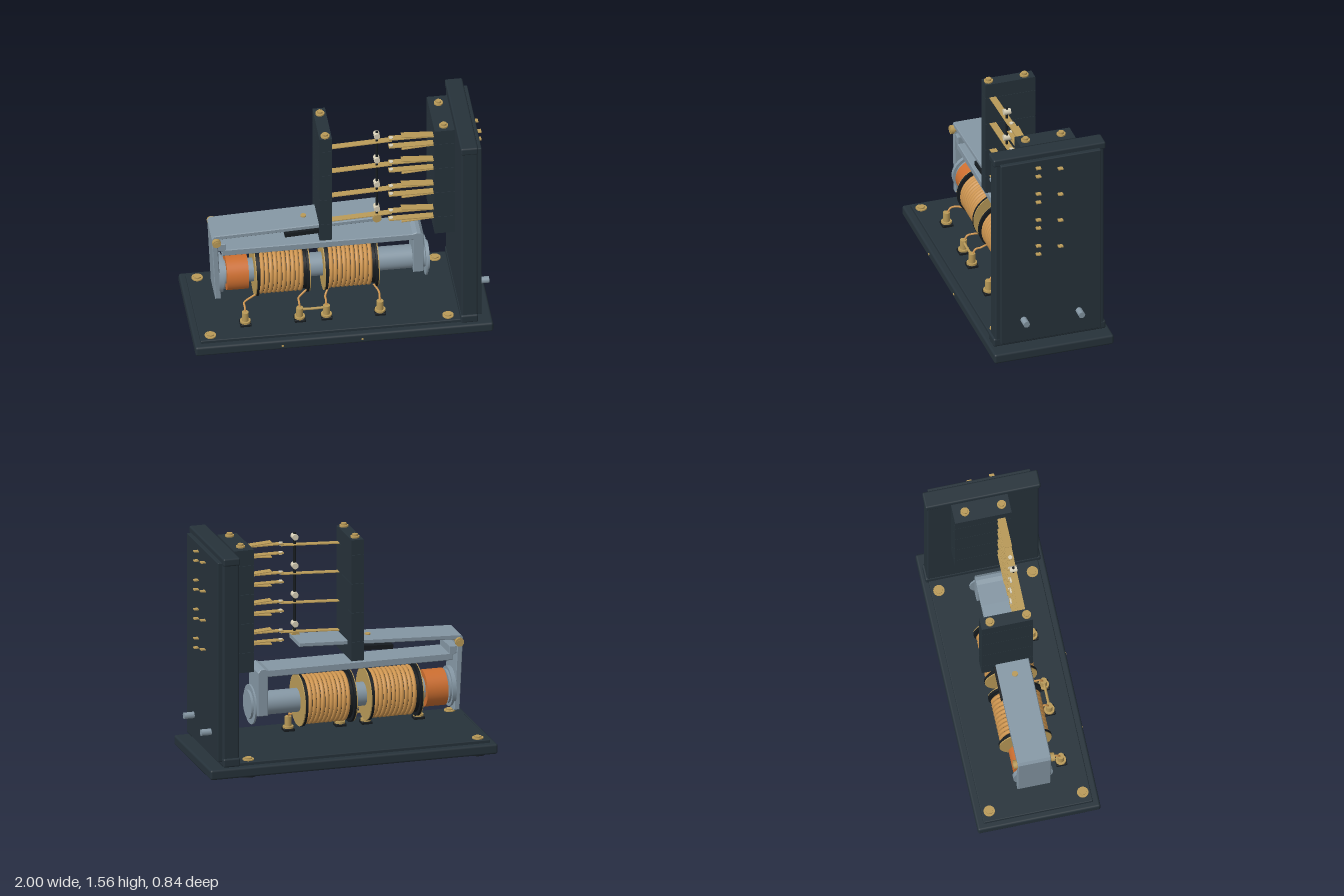
import * as THREE from 'three';
import { RoundedBoxGeometry } from 'three/addons/geometries/RoundedBoxGeometry.js';

const paint = (name, color) => {
  const m = new THREE.MeshStandardMaterial({ color });
  m.name = name;
  return m;
};

export function createModel() {
  const model = new THREE.Group();
  model.name = 'relay';
  const dark = paint('dark panel', 0x26323a);
  const black = paint('black insulation', 0x171c20);
  const steel = paint('steel', 0x8597a4);
  const brass = paint('brass', 0xb99a58);
  const winding = paint('copper wire', 0xcf9650);
  const copper = paint('copper slug', 0xcc6e30);
  const silver = paint('silver contact', 0xd8d0b8);

  const add = (name, geometry, material, x = 0, y = 0, z = 0, parent = model) => {
    const mesh = new THREE.Mesh(geometry, material);
    mesh.name = name;
    mesh.position.set(x, y, z);
    parent.add(mesh);
    return mesh;
  };
  // Box given by its limits, with rounded edges when r > 0
  const box = (name, mat, [x0, x1], [y0, y1], [z0, z1], r = 0) => add(name,
    r ? new RoundedBoxGeometry(x1 - x0, y1 - y0, z1 - z0, 2, r)
      : new THREE.BoxGeometry(x1 - x0, y1 - y0, z1 - z0),
    mat, (x0 + x1) / 2, (y0 + y1) / 2, (z0 + z1) / 2);
  // Cylinders along each axis
  const cylY = (name, mat, r, y0, y1, x, z, sides = 24) =>
    add(name, new THREE.CylinderGeometry(r, r, y1 - y0, sides), mat, x, (y0 + y1) / 2, z);
  const cylX = (name, mat, r, x0, x1, y, z, sides = 40) =>
    add(name, new THREE.CylinderGeometry(r, r, x1 - x0, sides).rotateZ(Math.PI / 2), mat, (x0 + x1) / 2, y, z);
  const cylZ = (name, mat, r, z0, z1, x, y, sides = 20) =>
    add(name, new THREE.CylinderGeometry(r, r, z1 - z0, sides).rotateX(Math.PI / 2), mat, x, y, (z0 + z1) / 2);
  // Thin strip between two points in the x-y plane
  const strip = (name, mat, [xa, ya], [xb, yb], thick, z, width) => {
    const s = add(name, new THREE.BoxGeometry(Math.hypot(xb - xa, yb - ya), thick, width),
      mat, (xa + xb) / 2, (ya + yb) / 2, z);
    s.rotation.z = Math.atan2(yb - ya, xb - xa);
    return s;
  };
  const profile = (name, mat, points, halfWidth) => {
    const b = 0.005;
    const shape = new THREE.Shape(points.map(([x, y]) => new THREE.Vector2(x, y)));
    const g = new THREE.ExtrudeGeometry(shape, {
      depth: 2 * (halfWidth - b), bevelThickness: b, bevelSize: b, bevelOffset: -b, bevelSegments: 1,
    });
    return add(name, g.translate(0, 0, -halfWidth + b), mat);
  };
  const wire = (name, mat, points, r, steps = 16) => add(name, new THREE.TubeGeometry(
    new THREE.CatmullRomCurve3(points.map(p => new THREE.Vector3(...p))), steps, r, 8), mat);

  // Base with feet and corner bolts
  box('base', dark, [-1, 1], [0.018, 0.088], [-0.417, 0.417], 0.015);
  box('baseDeck', dark, [-0.96, 0.82], [0.08, 0.11], [-0.372, 0.372], 0.006);
  for (const x of [-0.888, 0.708]) for (const z of [-0.318, 0.318]) {
    cylY('foot', black, 0.053, 0, 0.02, x, z);
    cylY('baseBolt', brass, 0.038, 0.108, 0.118, x, z);
    cylY('baseBoltHead', brass, 0.026, 0.116, 0.127, x, z, 6);
  }
  for (const x of [-0.415, 0.12]) cylZ('basePin', brass, 0.008, 0.41, 0.421, x, 0.05, 10);

  // Upright end panel with rails, cover plate and posts
  box('panel', dark, [0.79, 0.9], [0.1, 1.54], [-0.38, 0.38], 0.012);
  box('panelTopRail', dark, [0.785, 0.902], [1.492, 1.546], [-0.392, 0.392], 0.012);
  box('panelBottomRail', dark, [0.785, 0.902], [0.09, 0.15], [-0.392, 0.392], 0.012);
  box('coverPlate', dark, [0.89, 0.93], [0.12, 1.51], [-0.35, 0.35], 0.006);
  for (const z of [-0.193, 0.193]) cylX('panelPost', steel, 0.023, 0.92, 1, 0.287, z, 8);

  // Insulating blocks, stacked in slices with hairline seams
  const levels = [1.43, 1.229, 1.026, 0.823];
  const block = (name, x0, x1, y0, y1, z0, z1) => {
    const cuts = [y1, ...levels, y0];
    for (let i = 0; i < 5; i++)
      box(name, dark, [x0, x1], [cuts[i + 1] + 0.001, cuts[i] - 0.001], [z0, z1]);
    const x = (x0 + x1) / 2;
    for (const z of [-0.142, 0.108]) {
      cylY('blockWasher', brass, 0.03, y1 - 0.002, y1 + 0.01, x, z);
      cylY('blockBolt', brass, 0.02, y1, y1 + 0.024, x, z, 6);
      cylY('blockBoltEnd', brass, 0.012, y0 - 0.018, y0 + 0.005, x, z, 10);
    }
  };
  block('movingBlock', -0.13, -0.046, 0.69, 1.535, -0.206, 0.142);
  block('fixedBlock', 0.64, 0.775, 0.685, 1.54, -0.222, 0.163);

  // Contact springs on each level
  const zs = 0.092;
  for (const y of levels) {
    strip('movingSpring', brass, [-0.06, y], [0.36, y + 0.021], 0.006, zs, 0.046);
    const upper = y + 0.031, lower = y - 0.034;
    for (const [h, s] of [[upper, 1], [lower, -1]]) {
      strip('fixedSpring', brass, [0.34, h], [0.65, h], 0.007, zs, 0.048);
      strip('backingSpring', brass, [0.425, h + s * 0.018], [0.65, h + s * 0.003], 0.006, zs, 0.055);
      strip('springTail', brass, [0.92, h], [0.962, h], 0.008, 0.094, 0.034);
      cylY('contactButton', silver, 0.014, h - 0.011, h + 0.009, 0.357, zs, 16);
    }
    strip('movingTail', brass, [0.92, y], [0.962, y], 0.008, -0.06, 0.034);
    // Collar on the push rod
    cylZ('rodCollar', silver, 0.021, zs - 0.024, zs + 0.024, 0.26, y + 0.07);
  }
  cylY('pushRod', black, 0.009, 0.79, 1.53, 0.26, zs, 12);
  cylZ('rodFoot', brass, 0.03, zs - 0.025, zs + 0.025, 0.26, 0.815);

  // Armature: long arm bent down over the pole face
  profile('armature', steel, [[-0.85, 0.755], [-0.835, 0.776], [0.29, 0.823], [0.29, 0.793],
    [-0.812, 0.744], [-0.786, 0.252], [-0.826, 0.252]], 0.113);
  cylZ('hingePin', brass, 0.018, -0.143, 0.143, -0.82, 0.73);
  for (const s of [-1, 1]) cylZ('hingeCap', brass, 0.03, s * 0.127 - 0.012, s * 0.127 + 0.012, -0.82, 0.73, 12);
  strip('armatureInsulator', black, [-0.36, 0.738], [-0.12, 0.752], 0.03, -0.004, 0.242);
  cylY('armatureScrew', brass, 0.02, 0.785, 0.81, -0.22, 0, 12);

  // Yoke joining both ends of the core
  profile('yoke', steel, [[-0.815, 0.7], [-0.755, 0.7], [-0.755, 0.65], [0.5, 0.65], [0.53, 0.66],
    [0.555, 0.656], [0.575, 0.635], [0.575, 0.33], [0.505, 0.33], [0.505, 0.6], [-0.78, 0.6],
    [-0.78, 0.635], [-0.815, 0.65]], 0.105);

  // Magnet core
  const cy = 0.39;
  cylX('core', steel, 0.08, -0.78, 0.6, cy, 0);
  cylX('poleDisc', steel, 0.135, -0.8, -0.772, cy, 0);
  cylX('poleFace', steel, 0.115, -0.775, -0.758, cy, 0);
  cylX('endDisc', steel, 0.135, 0.59, 0.602, cy, 0);
  cylX('endNut', steel, 0.098, 0.6, 0.618, cy, 0);
  cylX('slug', copper, 0.125, -0.745, -0.6, cy, 0, 48);

  // Two wound coils
  const turns = 10;
  for (const x0 of [-0.56, -0.098]) {
    const x1 = x0 + 0.368;
    for (const [x, s] of [[x0, 1], [x1, -1]]) {
      cylX('flangeFace', brass, 0.178, x - 0.004 + s * 0.004, x + 0.004 + s * 0.004, cy, 0, 48);
      cylX('flange', black, 0.18, x + s * 0.015 - 0.008, x + s * 0.015 + 0.008, cy, 0, 48);
    }
    cylX('coilBody', black, 0.155, x0 + 0.015, x1 - 0.015, cy, 0, 48);
    const helix = [];
    for (let i = 0; i <= turns * 16; i++) {
      const a = i / 16 * Math.PI * 2;
      helix.push([x0 + 0.038 + (0.292 * i) / (turns * 16), cy - 0.154 * Math.cos(a), 0.154 * Math.sin(a)]);
    }
    wire('coilWinding', winding, helix, 0.0145, turns * 32);
  }

  // Binding posts with leads to the coils
  const tz = 0.222;
  for (const [x, xc] of [[-0.64, -0.55], [-0.275, -0.215], [-0.095, -0.07], [0.265, 0.235]]) {
    box('postBase', black, [x - 0.037, x + 0.037], [0.105, 0.128], [tz - 0.037, tz + 0.037], 0.005);
    cylY('postNut', brass, 0.036, 0.127, 0.142, x, tz, 16);
    cylY('post', brass, 0.023, 0.14, 0.208, x, tz, 16);
    wire('lead', winding, [[x, 0.19, tz], [x, 0.235, 0.195], [x, 0.24, 0.16], [xc, 0.275, 0.12]], 0.007);
  }
  wire('bridgeWire', brass, [[-0.275, 0.193, tz], [-0.185, 0.19, tz], [-0.095, 0.193, tz]], 0.009);
  return model;
}
